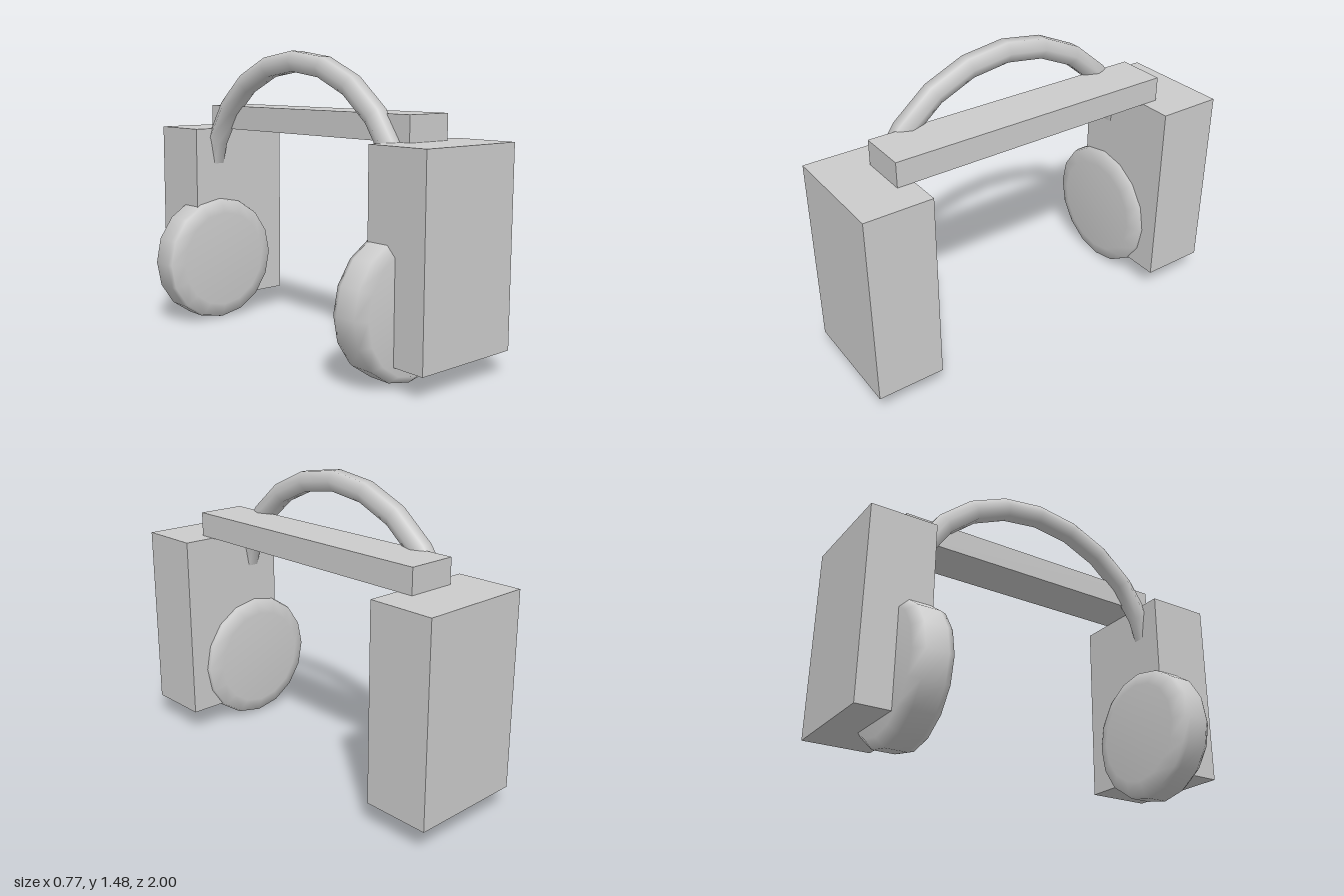
import * as THREE from 'three';

// Circular arc in the YZ plane, centred on the top of the arch
class ArchCurve extends THREE.Curve {
  constructor(radius, centreY, halfAngle) {
    super();
    Object.assign(this, { radius, centreY, halfAngle });
  }
  getPoint(t, target = new THREE.Vector3()) {
    const a = (t * 2 - 1) * this.halfAngle;
    return target.set(0, this.centreY + this.radius * Math.cos(a), this.radius * Math.sin(a));
  }
}

export function createModel() {
  const model = new THREE.Group();
  const grey = new THREE.MeshStandardMaterial({ color: 0xcccccc });
  grey.name = 'light grey';

  function add(name, geometry, x, y, z) {
    const mesh = new THREE.Mesh(geometry, grey);
    mesh.name = name;
    mesh.position.set(x, y, z);
    model.add(mesh);
    return mesh;
  }

  // Cross beam joining the two blocks
  add('beam', new THREE.BoxGeometry(0.25, 0.125, 1.5), 0.095, 1.132, 0);

  // Six-sided arched band, its ends sunk into the blocks
  const arch = new ArchCurve(0.75, 0.68, THREE.MathUtils.degToRad(96));
  add('archBand', new THREE.TubeGeometry(arch, 12, 0.058, 6), -0.048, 0, 0);

  // Rounded disc profile: radius, distance from the middle of the model
  const profile = [
    [0, 0.622], [0.26, 0.622], [0.332, 0.647], [0.34, 0.675],
    [0.34, 0.785], [0.3, 0.832], [0, 0.832],
  ].map(([r, d]) => new THREE.Vector2(r, d));
  const discGeometry = new THREE.LatheGeometry(profile, 16).rotateX(Math.PI / 2);
  const blockGeometry = new THREE.BoxGeometry(0.578, 0.956, 0.335);

  // Block and disc at the front and back ends
  for (const [end, side] of [['front', 1], ['back', -1]]) {
    add(end + 'Block', blockGeometry, 0.093, 0.592, side * 0.8325);
    const disc = add(end + 'Disc', discGeometry, -0.048, 0.342, 0);
    if (side < 0) disc.rotation.y = Math.PI;
  }
  return model;
}
